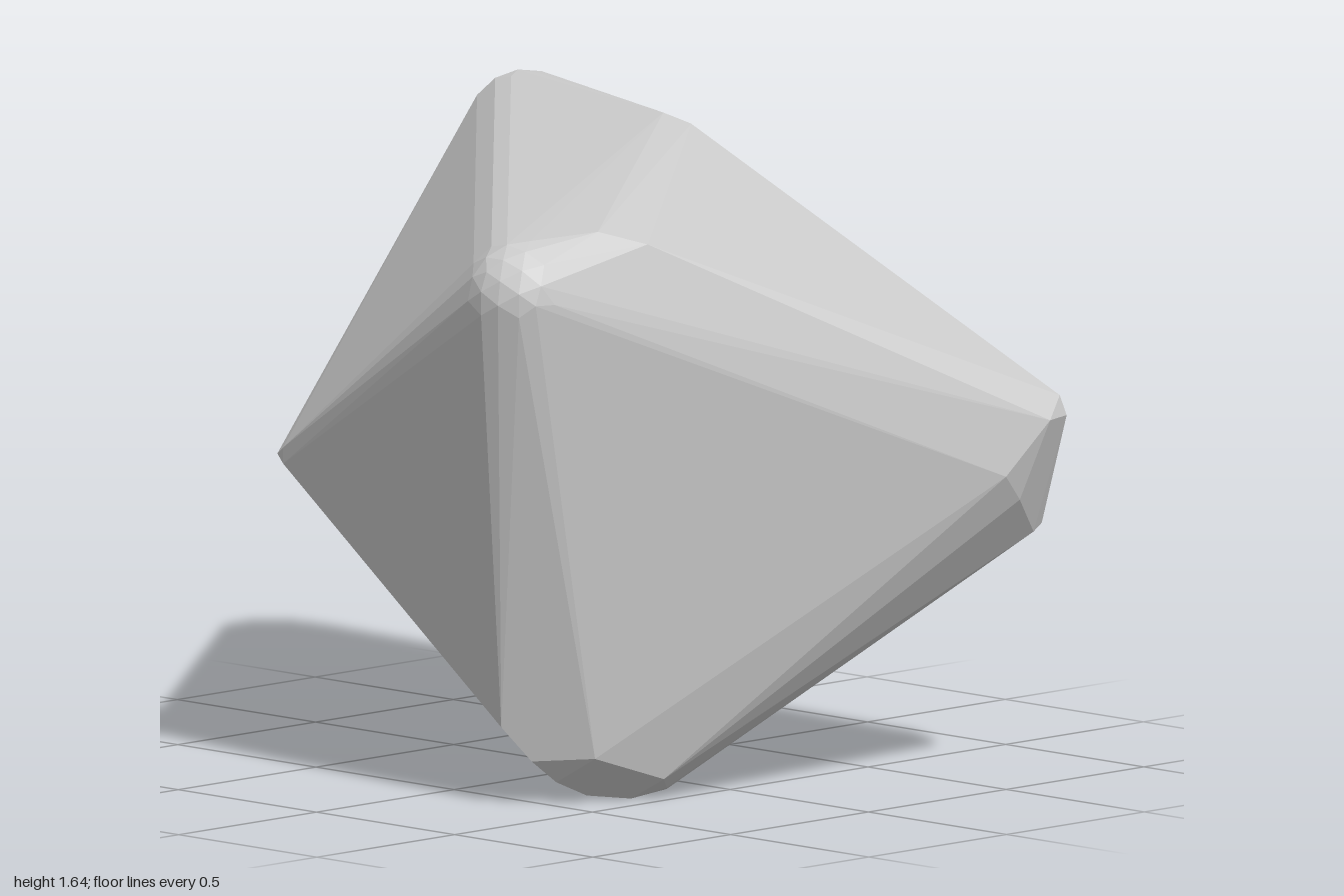
import * as THREE from 'three';
import { ConvexGeometry } from 'three/addons/geometries/ConvexGeometry.js';

// Rounded corners of the boulder: centre and radius
const roundCorners = [
  [-0.85, 1.49, -0.615, 0.155], // high back corner
  [0.36, 1.34, 0.615, 0.152],   // high front corner
  [-0.70, 0.145, -0.63, 0.14],  // low back corner
  [-0.535, 0.82, 0.55, 0.04],   // side corner
];

// Sharp corners and worn chamfers
const sharpCorners = [
  // top ridge
  [-0.16, 1.637, -0.42], [-0.06, 1.62, -0.42],
  // shoulder of the high front corner
  [0.48, 1.505, 0.46], [0.56, 1.47, 0.36], [0.54, 1.42, 0.43], [0.51, 1.22, 0.52],
  [0.51, 0.78, 0.465],
  // pointed tip
  [1, 0.945, -0.66], [0.97, 0.81, -0.53], [0.95, 0.74, -0.6], [0.88, 0.635, -0.72],
  [0.95, 0.94, -0.77], [0.93, 0.99, -0.765], [0.86, 0.65, -0.77],
  // worn foot at the front
  [0.27, 0.21, 0.6], [0.32, 0.12, 0.54], [0.34, 0.06, 0.47], [0.37, 0.02, 0.39],
  [0.42, 0.005, 0.28], [0.47, 0.03, 0.2], [0.50, 0.06, 0.24], [0.45, 0.13, 0.44],
  [0.40, 0.01, 0.13],
  // kink along the underside
  [-0.15, 0.03, -0.36], [-0.1, 0.005, -0.28],
];

export function createModel() {
  const points = sharpCorners.map((p) => new THREE.Vector3(...p));

  // Add a small ball of points at each rounded corner
  for (const [x, y, z, r] of roundCorners) {
    const pos = new THREE.IcosahedronGeometry(r, r > 0.1 ? 2 : 0).attributes.position;
    const seen = new Set();
    for (let i = 0; i < pos.count; i++) {
      const p = new THREE.Vector3().fromBufferAttribute(pos, i).add(new THREE.Vector3(x, y, z));
      const key = p.toArray().map((v) => v.toFixed(4)).join();
      if (!seen.has(key)) points.push(p);
      seen.add(key);
    }
  }

  // Wrap everything in one faceted hull
  const boulder = new THREE.Mesh(
    new ConvexGeometry(points),
    new THREE.MeshStandardMaterial({ color: 0xcccccc, flatShading: true })
  );
  boulder.name = 'boulder';

  const group = new THREE.Group();
  group.name = 'rock';
  group.add(boulder);
  return group;
}
